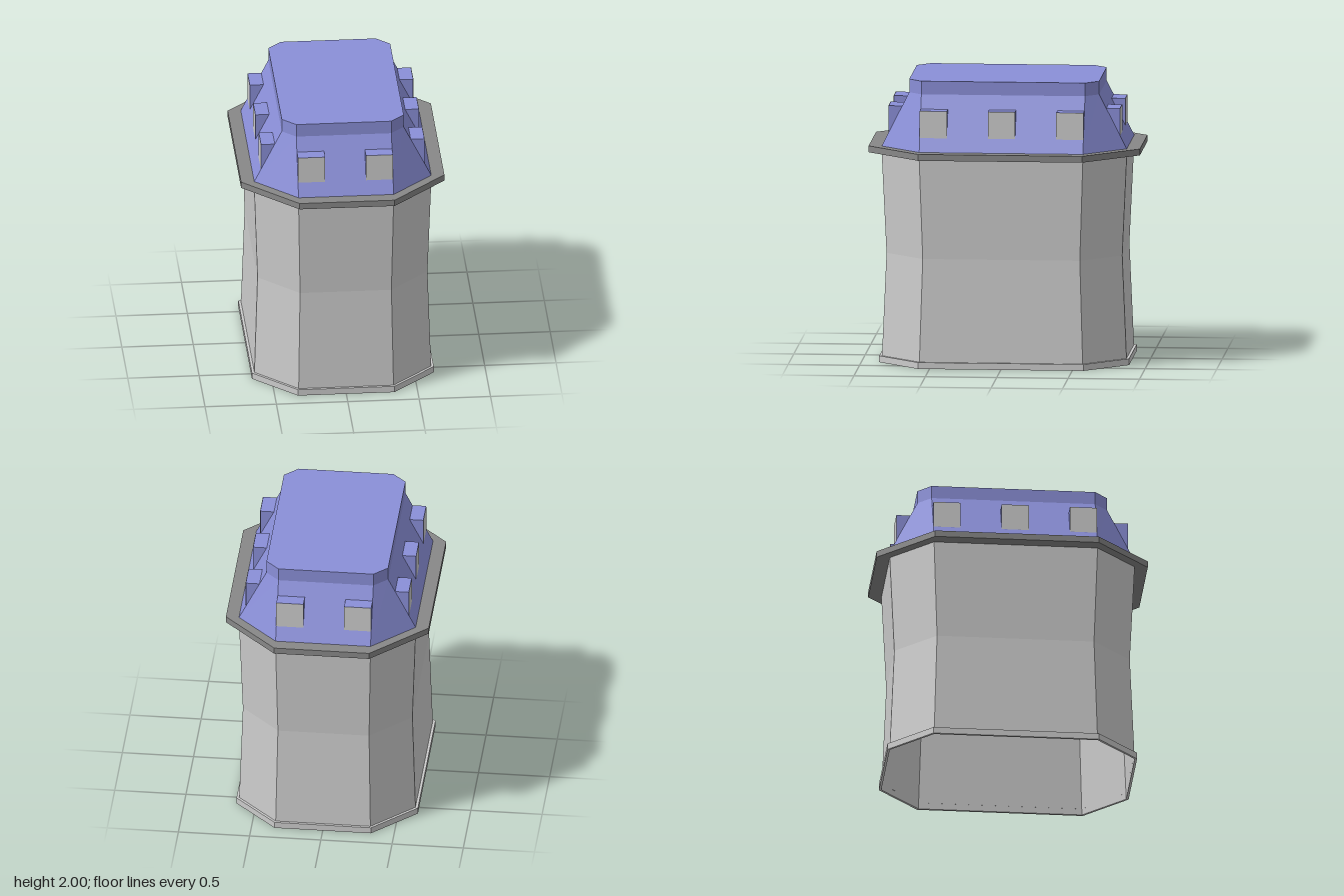
import * as THREE from 'three';

const material = (color) => new THREE.MeshStandardMaterial({ color, flatShading: true, side: THREE.DoubleSide });

// Eight corners of a chamfered rectangle: half sizes hx, hz and chamfer starts cx, cz
function ring([y, hx, hz, cx, cz]) {
  return [[cx, hz], [hx, cz], [hx, -cz], [cx, -hz], [-cx, -hz], [-hx, -cz], [-hx, cz], [-cx, hz]]
    .map(([x, z]) => [x, y, z]);
}

// Flat-faced skin through a stack of rings, with optional end caps
function loft(name, sections, mat, capBottom, capTop) {
  const rings = sections.map(ring);
  const pos = [];
  const tri = (a, b, c) => pos.push(...a, ...b, ...c);
  for (let k = 0; k < rings.length - 1; k++) {
    const lo = rings[k], hi = rings[k + 1];
    for (let i = 0; i < 8; i++) {
      const j = (i + 1) % 8;
      tri(lo[i], lo[j], hi[j]);
      tri(lo[i], hi[j], hi[i]);
    }
  }
  const first = rings[0], last = rings[rings.length - 1];
  for (let i = 1; i < 7; i++) {
    if (capBottom) tri(first[0], first[i + 1], first[i]);
    if (capTop) tri(last[0], last[i], last[i + 1]);
  }
  const geometry = new THREE.BufferGeometry();
  geometry.setAttribute('position', new THREE.Float32BufferAttribute(pos, 3));
  geometry.computeVertexNormals();
  const mesh = new THREE.Mesh(geometry, mat);
  mesh.name = name;
  return mesh;
}

export function createModel() {
  const model = new THREE.Group();
  model.name = 'tower';
  const wallMat = material(0xcccccc);
  const ledgeMat = material(0x888888);
  const roofMat = material(0x8a8fd8);

  // Hollow waisted walls, open underneath
  model.add(loft('walls', [
    [0, 0.62, 0.858, 0.333, 0.573],
    [0.77, 0.595, 0.825, 0.32, 0.55],
    [1.48, 0.62, 0.858, 0.333, 0.573],
  ], wallMat, false, false));

  // Thin lip around the foot
  model.add(loft('baseLip', [
    [0, 0.62, 0.858, 0.333, 0.573],
    [0, 0.637, 0.875, 0.338, 0.58],
    [0.045, 0.637, 0.875, 0.338, 0.58],
    [0.045, 0.618, 0.856, 0.332, 0.572],
  ], wallMat, false, false));

  // Overhanging ledge
  model.add(loft('ledge', [
    [1.48, 0.712, 0.95, 0.333, 0.573],
    [1.525, 0.712, 0.95, 0.333, 0.573],
  ], ledgeMat, true, true));

  // Sloped roof with a short upright crown
  model.add(loft('roof', [
    [1.525, 0.62, 0.858, 0.333, 0.573],
    [1.907, 0.427, 0.665, 0.333, 0.573],
    [2, 0.427, 0.665, 0.333, 0.573],
  ], roofMat, false, true));

  // Wedge dormers: upright window, flat top, back lying in the roof slope
  const width = 0.19, height = 0.19, depth = 0.096;
  const profile = new THREE.Shape([[0, 0], [0, height], [-depth, height]].map((p) => new THREE.Vector2(...p)));
  const wedge = new THREE.ExtrudeGeometry(profile, { depth: width, bevelEnabled: false });
  wedge.translate(0, 0, -width / 2).rotateY(-Math.PI / 2);
  const pane = new THREE.PlaneGeometry(width, height).translate(0, height / 2, 0.002);

  function addDormer(turn, offset, distance) {
    const pivot = new THREE.Group();
    pivot.name = 'dormer';
    pivot.rotation.y = turn;
    const hood = new THREE.Mesh(wedge, roofMat);
    hood.name = 'dormerHood';
    const window = new THREE.Mesh(pane, wallMat);
    window.name = 'dormerWindow';
    for (const part of [hood, window]) {
      part.position.set(offset, 1.62, distance);
      pivot.add(part);
    }
    model.add(pivot);
  }

  for (const turn of [0, Math.PI]) {
    for (const offset of [-0.238, 0.238]) addDormer(turn, offset, 0.81);
    for (const offset of [-0.478, 0, 0.478]) addDormer(turn + Math.PI / 2, offset, 0.572);
  }
  return model;
}
